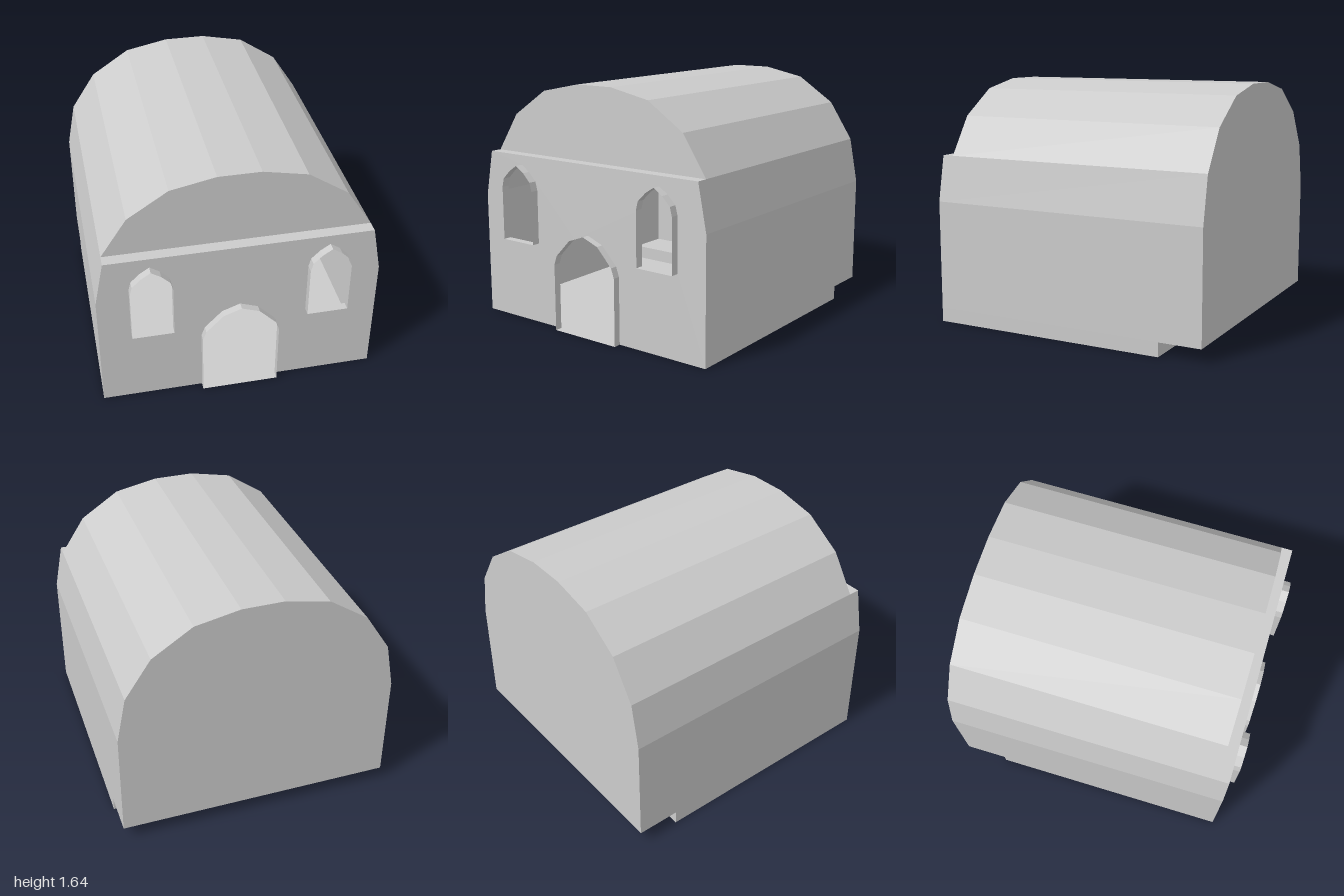
import * as THREE from 'three';

const BACK = -1, FRONT = 0.945, GABLE = 0.865, TIP = 1;
const STEP_Y = 0.095, STEP_Z = -0.71, LEDGE_Y = 1.15, HALF_W = 0.93;

const material = new THREE.MeshStandardMaterial({
  color: 0xcccccc, side: THREE.DoubleSide, flatShading: true,
});

// Right half of an outline -> whole outline, running from right to left over the top
const mirror = (half) => [
  ...half,
  ...half.filter(([x]) => x !== 0).reverse().map(([x, y]) => [-x, y]),
];

// Thin sheet swept along z from an x-y outline
function ribbon(points, z0, z1) {
  const pos = [];
  for (let i = 0; i + 1 < points.length; i++) {
    const [px, py] = points[i], [qx, qy] = points[i + 1];
    const a = [px, py, z1], b = [px, py, z0], c = [qx, qy, z0], d = [qx, qy, z1];
    pos.push(...a, ...b, ...c, ...a, ...c, ...d);
  }
  const geo = new THREE.BufferGeometry();
  geo.setAttribute('position', new THREE.Float32BufferAttribute(pos, 3));
  geo.computeVertexNormals();
  return geo;
}

const vectors = (points) => points.map(([x, y]) => new THREE.Vector2(x, y));

// Flat wall facing +z, or -z when it faces the back
function wall(points, z, holes = [], facesBack = false) {
  const shape = new THREE.Shape(vectors(points));
  shape.holes = holes.map((h) => new THREE.Path(vectors(h)));
  const geo = new THREE.ShapeGeometry(shape);
  if (facesBack) geo.rotateY(Math.PI);
  return geo.translate(0, 0, z);
}

export function createModel() {
  const group = new THREE.Group();
  const add = (name, geo) => {
    const mesh = new THREE.Mesh(geo, material);
    mesh.name = name;
    group.add(mesh);
  };

  const sideHalf = [[HALF_W, STEP_Y], [HALF_W, 0.84], [0.87, LEDGE_Y]];
  const vaultHalf = [[0.87, LEDGE_Y], [0.7, 1.41], [0.435, 1.585], [0.14, 1.645]];
  const vault = mirror(vaultHalf);

  // Faceted vault and side walls
  add('vaultRoof', ribbon(vault, BACK, GABLE));
  for (const s of [1, -1]) {
    const place = (pts) => {
      const p = pts.map(([x, y]) => [s * x, y]);
      return s > 0 ? p : p.reverse();
    };
    const side = s > 0 ? 'left' : 'right';
    add(side + 'SideWall', ribbon(place(sideHalf), BACK, FRONT));
    add(side + 'SideWallBase', ribbon(place([[HALF_W, 0], [HALF_W, STEP_Y]]), STEP_Z, FRONT));
  }

  // Openings: pointed arches for the door and the two windows
  const door = mirror([[0.257, 0], [0.257, 0.455], [0.235, 0.52], [0.12, 0.64], [0, 0.685]]);
  const windowArch = mirror([[0.137, 0.56], [0.137, 0.925], [0.122, 0.985], [0.064, 1.043], [0, 1.085]]);
  const windows = [0.582, -0.582].map((cx) => windowArch.map(([x, y]) => [x + cx, y]));

  // Front wall: the door cuts into its lower edge, the windows are holes
  const frontOutline = [
    [HALF_W, 0], [HALF_W, 0.84], [0.87, LEDGE_Y],
    [-0.87, LEDGE_Y], [-HALF_W, 0.84], [-HALF_W, 0],
    ...[...door].reverse(),
  ];
  add('frontWall', wall(frontOutline, FRONT, windows));
  add('ledge', ribbon([[0.87, LEDGE_Y], [-0.87, LEDGE_Y]], GABLE, FRONT));
  add('frontGable', wall(vault, GABLE));

  // Back wall, stepped floor
  add('backWall', wall(mirror([...sideHalf, ...vaultHalf.slice(1)]), BACK, [], true));
  add('floor', ribbon([[-HALF_W, 0], [HALF_W, 0]], STEP_Z, FRONT));
  add('rearFloor', ribbon([[-HALF_W, STEP_Y], [HALF_W, STEP_Y]], BACK, STEP_Z));
  add('floorStep', wall(mirror([[HALF_W, 0], [HALF_W, STEP_Y]]), STEP_Z, [], true));

  // Thin surrounds standing out from the front wall
  add('doorSurround', ribbon([...door, door[0]], FRONT, 0.995));
  windows.forEach((w, i) =>
    add(i ? 'rightWindowSurround' : 'leftWindowSurround', ribbon([...w, w[0]], FRONT, TIP)));

  return group;
}
